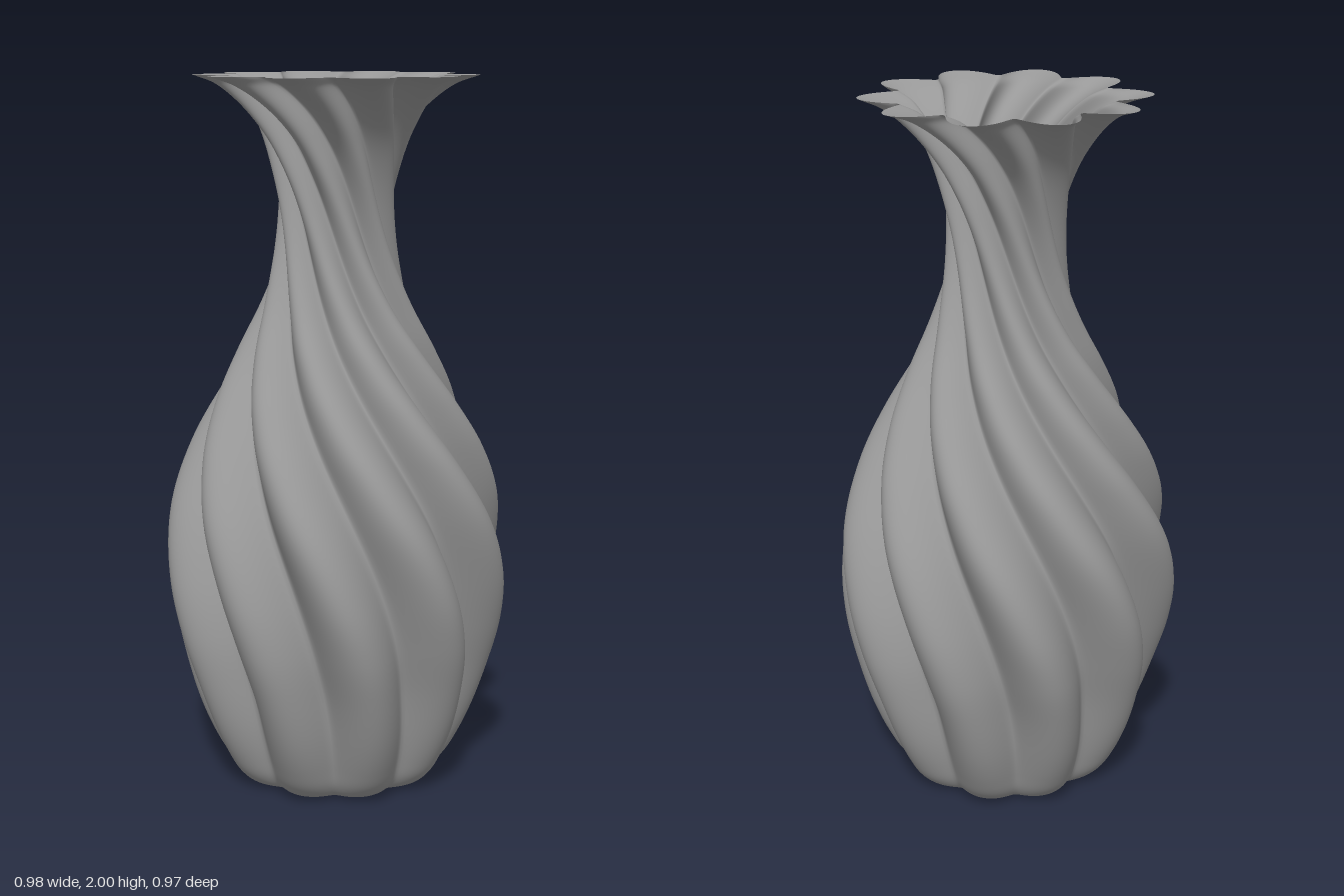
import * as THREE from 'three';

const LOBES = 10, AROUND = 240, ALONG = 150;

// Wall stations from foot to rim: lobe tip radius, height, groove depth ratio
const STATIONS = [
  [0.245, 0.00, 0.07], [0.285, 0.015, 0.09], [0.322, 0.05, 0.11], [0.358, 0.11, 0.14],
  [0.398, 0.20, 0.17], [0.440, 0.33, 0.20], [0.475, 0.47, 0.21], [0.490, 0.62, 0.22],
  [0.473, 0.80, 0.22], [0.417, 0.97, 0.22], [0.350, 1.11, 0.22], [0.275, 1.25, 0.22],
  [0.212, 1.38, 0.22], [0.172, 1.52, 0.22], [0.163, 1.64, 0.22], [0.177, 1.75, 0.22],
  [0.207, 1.84, 0.23], [0.260, 1.92, 0.24], [0.325, 1.975, 0.245], [0.392, 2.00, 0.25],
];
const wallCurve = new THREE.CatmullRomCurve3(
  STATIONS.map((s) => new THREE.Vector3(...s)), false, 'centripetal');

// The grooves wind faster and faster towards the rim
const twistAt = (y) => THREE.MathUtils.degToRad(68 + 182 * Math.pow(Math.max(y, 0) / 2, 2.1));

// Scalloped cross-section: broad round lobes with narrow soft grooves
function ring(t) {
  const { x: tip, y, z: depth } = wallCurve.getPoint(t);
  const points = [];
  for (let i = 0; i < AROUND; i++) {
    const a = (i / AROUND) * Math.PI * 2;
    const s = Math.sin(a * LOBES / 2);
    const lobe = (Math.sqrt(s * s + 0.03) - 0.173) / 0.842;
    const r = tip * (1 - depth * (1 - lobe));
    const angle = a + twistAt(y);
    points.push(r * Math.cos(angle), y, r * Math.sin(angle));
  }
  return points;
}

function surface(positions, index) {
  const g = new THREE.BufferGeometry();
  g.setAttribute('position', new THREE.Float32BufferAttribute(positions, 3));
  g.setIndex(index);
  g.computeVertexNormals();
  return g;
}

function wallGeometry() {
  const positions = [], index = [];
  for (let j = 0; j <= ALONG; j++) positions.push(...ring(j / ALONG));
  for (let j = 0; j < ALONG; j++) {
    for (let i = 0; i < AROUND; i++) {
      const a = j * AROUND + i, b = j * AROUND + (i + 1) % AROUND;
      index.push(a, a + AROUND, b, b, a + AROUND, b + AROUND);
    }
  }
  return surface(positions, index);
}

function baseGeometry() {
  const positions = [...ring(0), 0, 0, 0], index = [];
  for (let i = 0; i < AROUND; i++) index.push(AROUND, i, (i + 1) % AROUND);
  return surface(positions, index);
}

export function createModel() {
  const material = new THREE.MeshStandardMaterial({ color: 0x989898, side: THREE.DoubleSide });
  const vase = new THREE.Group();
  vase.name = 'vase';

  // Twisted fluted wall, open at the flared rim
  const wall = new THREE.Mesh(wallGeometry(), material);
  wall.name = 'twistedWall';

  // Flat foot closing the bottom
  const base = new THREE.Mesh(baseGeometry(), material);
  base.name = 'base';

  vase.add(wall, base);
  return vase;
}
